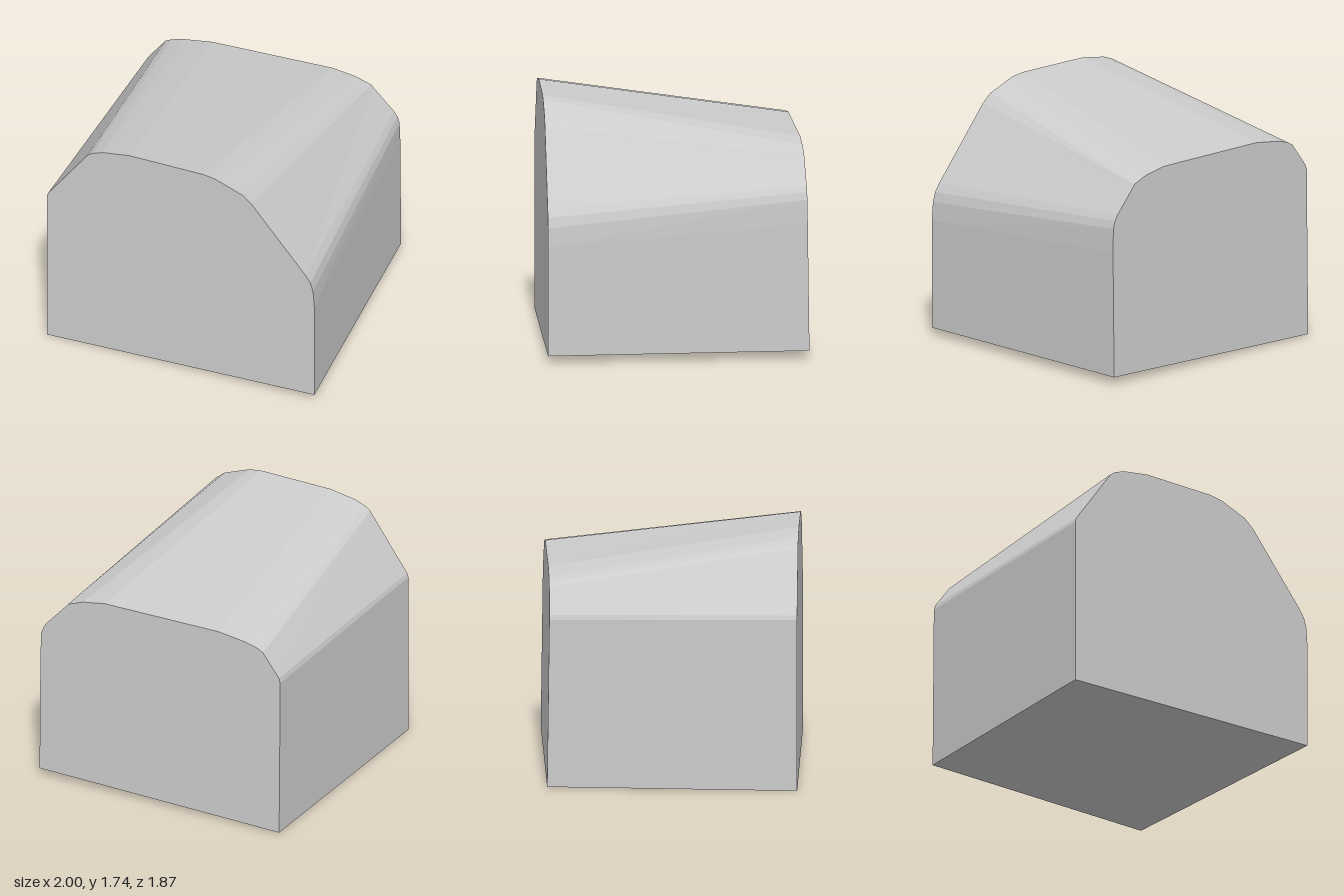
import * as THREE from 'three';

// Matching cross-sections, anticlockwise from the lower -x corner: [x, y]
const FRONT = [
  [-1, 0], [1, 0.05], [1, 0.82], [0.99, 0.95], [0.97, 1.02], [0.93, 1.08],
  [0.53, 1.58], [0.46, 1.64], [0.26, 1.72], [0.17, 1.735],
  [-0.38, 1.74], [-0.58, 1.71], [-0.66, 1.68], [-0.695, 1.655], [-0.99, 1.24], [-1, 1.21],
];
const BACK = [
  [-1, 0.01], [0.855, 0.055], [0.855, 0.95], [0.85, 1.12], [0.835, 1.17], [0.81, 1.21],
  [0.66, 1.38], [0.645, 1.4], [0.53, 1.445], [0.36, 1.475],
  [-0.52, 1.475], [-0.73, 1.445], [-0.82, 1.42], [-0.865, 1.395], [-0.99, 1.225], [-1, 1.19],
];

// The end faces are slightly skewed planes
const frontPoint = ([x, y]) => [x, y, 0.935 - 0.03 * (x + 1)];
const backPoint = ([x, y]) => [x, y, -0.8 - 0.0755 * (x + 1) + 0.013 * y];

function mesh(name, triangles, material) {
  const geometry = new THREE.BufferGeometry();
  geometry.setAttribute('position', new THREE.Float32BufferAttribute(triangles.flat(2), 3));
  geometry.computeVertexNormals();
  const m = new THREE.Mesh(geometry, material);
  m.name = name;
  return m;
}

export function createModel() {
  const group = new THREE.Group();
  group.name = 'taperedBlock';
  const grey = new THREE.MeshStandardMaterial({ color: 0xcccccc });
  grey.name = 'light grey';

  const f = FRONT.map(frontPoint);
  const b = BACK.map(backPoint);
  const shell = [], frontCap = [], backCap = [];
  for (let i = 0; i < f.length; i++) {
    const j = (i + 1) % f.length;
    // Ruled facets joining the two ends
    shell.push([f[i], b[i], b[j]], [f[i], b[j], f[j]]);
    // Fans closing the ends
    if (i > 0 && j > 0) {
      frontCap.push([f[0], f[i], f[j]]);
      backCap.push([b[0], b[j], b[i]]);
    }
  }
  group.add(
    mesh('facetedShell', shell, grey),
    mesh('frontFace', frontCap, grey),
    mesh('backFace', backCap, grey),
  );
  return group;
}
